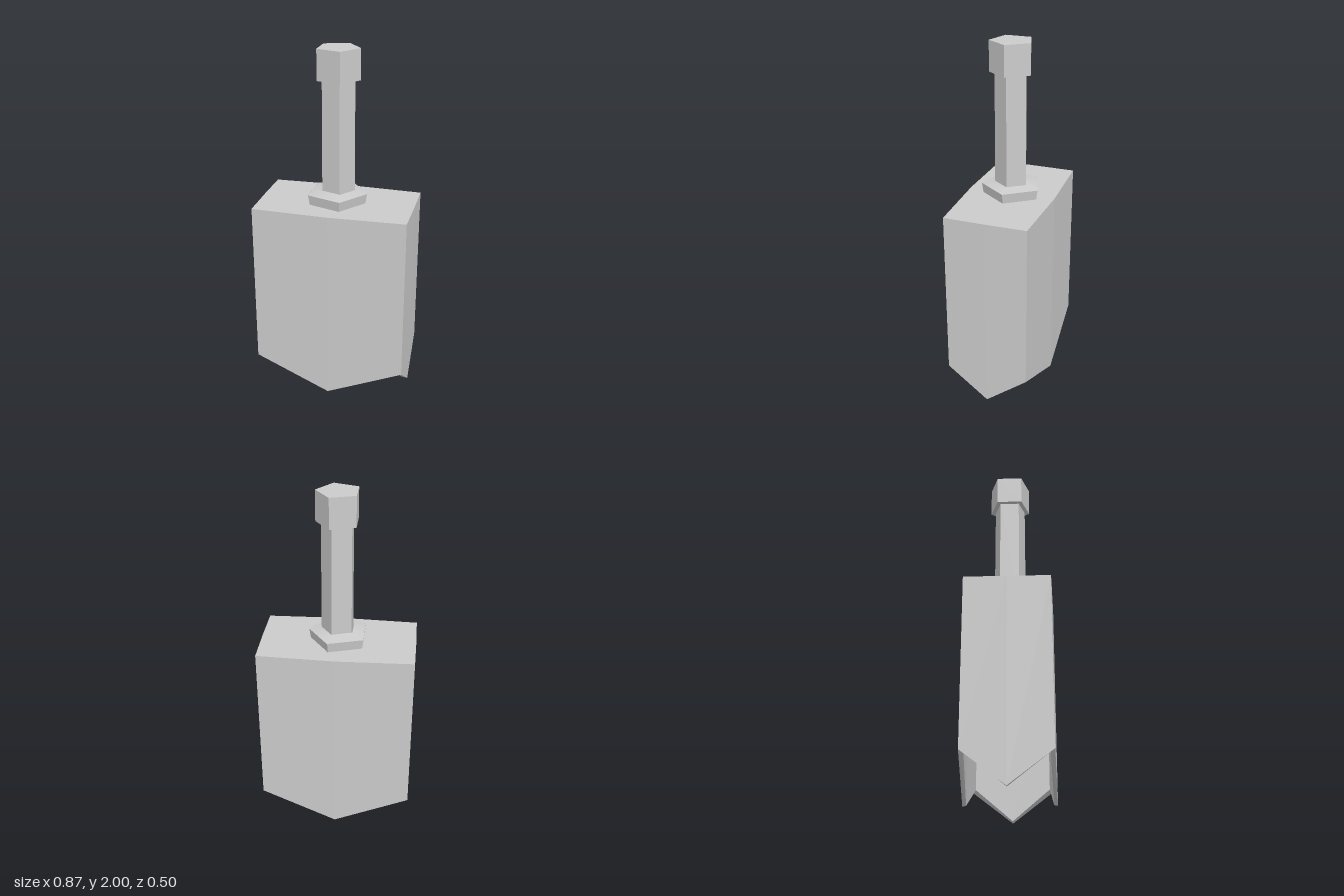
import * as THREE from 'three';

const material = () => new THREE.MeshStandardMaterial({ color: 0xcccccc, flatShading: true, side: THREE.DoubleSide });

// Closed skin through a list of rings that share the same point count
function skin(rings) {
  const pos = [];
  for (let r = 0; r < rings.length - 1; r++) {
    const a = rings[r], b = rings[r + 1], n = a.length;
    for (let i = 0; i < n; i++) {
      const j = (i + 1) % n;
      pos.push(...a[i], ...a[j], ...b[j], ...a[i], ...b[j], ...b[i]);
    }
  }
  const g = new THREE.BufferGeometry();
  g.setAttribute('position', new THREE.Float32BufferAttribute(pos, 3));
  g.computeVertexNormals();
  return g;
}

// Outline of the block: corners and slightly bowed side midpoints, counter-clockwise from above
function outline(cx, cz, mx, mz, cornerY, midY) {
  return [
    [cx, cornerY, cz], [mx, midY, 0], [cx, cornerY, -cz], [0, midY, -mz],
    [-cx, cornerY, -cz], [-mx, midY, 0], [-cx, cornerY, cz], [0, midY, mz],
  ];
}

// Five-sided turned part with one corner pointing to +x
function pentagon(name, profile, x, smooth = false) {
  const g = new THREE.LatheGeometry(profile.map(([r, y]) => new THREE.Vector2(r, y)), 5, Math.PI / 2);
  const m = material();
  m.flatShading = !smooth;
  const mesh = new THREE.Mesh(g, m);
  mesh.name = name;
  mesh.position.x = x;
  return mesh;
}

export function createModel() {
  const group = new THREE.Group();

  // Hollow block, each wall running down to a point
  const outer = [0.435, 0.235, 0.437, 0.25], inner = [0.395, 0.213, 0.397, 0.23];
  const body = new THREE.Mesh(skin([
    outline(0, 0, 0, 0, 0.95, 0.95),
    outline(...inner, 0.95, 0.95),
    outline(...inner, 0.185, 0.005),
    outline(...outer, 0.18, 0),
    outline(...outer, 1.13, 1.13),
    outline(0, 0, 0, 0, 1.13, 1.13),
  ]), material());
  body.name = 'body';
  group.add(body);

  // Collar with a softly shaded top running up into the handle
  group.add(pentagon('collar', [[0.165, 1.13], [0.174, 1.187]], -0.006));
  group.add(pentagon('collarTop', [[0.174, 1.187], [0.156, 1.192], [0.118, 1.198], [0.094, 1.205]], -0.005, true));

  // Handle shaft and its end knob
  group.add(pentagon('handle', [[0.096, 1.13], [0.094, 1.84]], 0.001));
  group.add(pentagon('knob', [[0, 1.83], [0.123, 1.83], [0.123, 2], [0, 2]], 0.001));
  return group;
}
